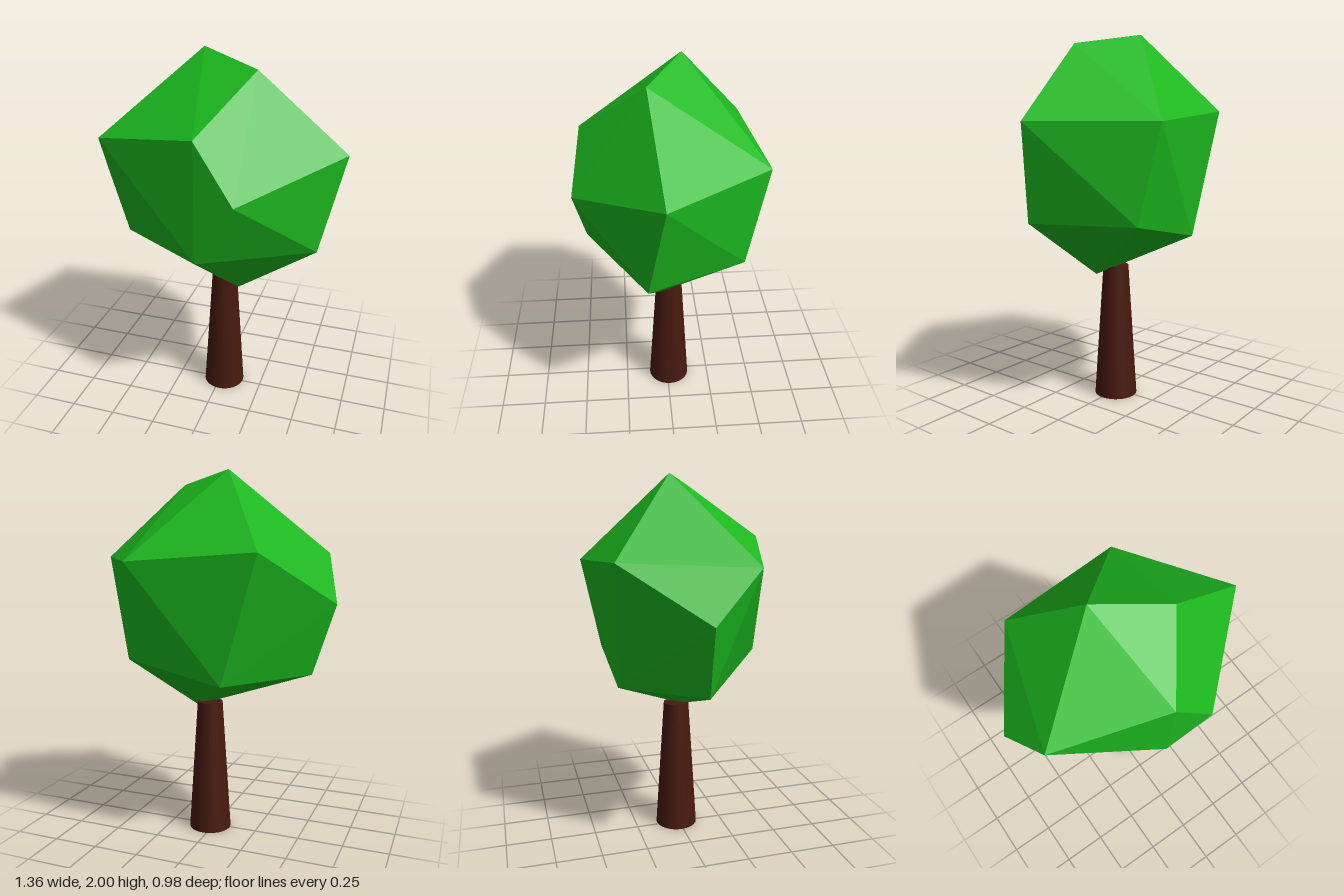
import * as THREE from 'three';
import { ConvexGeometry } from 'three/addons/geometries/ConvexGeometry.js';

export function createModel() {
  const tree = new THREE.Group();
  tree.name = 'tree';

  // Tapered round trunk
  const trunk = new THREE.Mesh(
    new THREE.CylinderGeometry(0.07, 0.118, 0.745, 32),
    new THREE.MeshStandardMaterial({ color: 0x47190f })
  );
  trunk.name = 'trunk';
  trunk.position.set(0.022, 0.3725, -0.01);
  tree.add(trunk);

  // Faceted crown: convex hull of its corners, from top to bottom
  const corners = [
    [-0.11, 2.0, -0.08], [0.22, 1.94, 0.11], // peak
    [0.0, 1.67, 0.44], [-0.58, 1.57, 0.245], [-0.38, 1.59, -0.42], // upper ring
    [0.29, 1.54, -0.49], [0.675, 1.54, 0.05],
    [0.213, 1.38, 0.49], [-0.68, 1.32, -0.02], // middle
    [0.0, 1.03, 0.44], [0.56, 1.03, 0.13], [0.33, 1.03, -0.38], // lower ring
    [-0.18, 0.92, -0.38], [-0.555, 0.94, 0.0],
    [0.12, 0.7, 0.05], // bottom tip
  ].map((p) => new THREE.Vector3(...p));
  const crown = new THREE.Mesh(
    new ConvexGeometry(corners),
    new THREE.MeshStandardMaterial({ color: 0x1cb81f, flatShading: true })
  );
  crown.name = 'crown';
  tree.add(crown);

  return tree;
}
